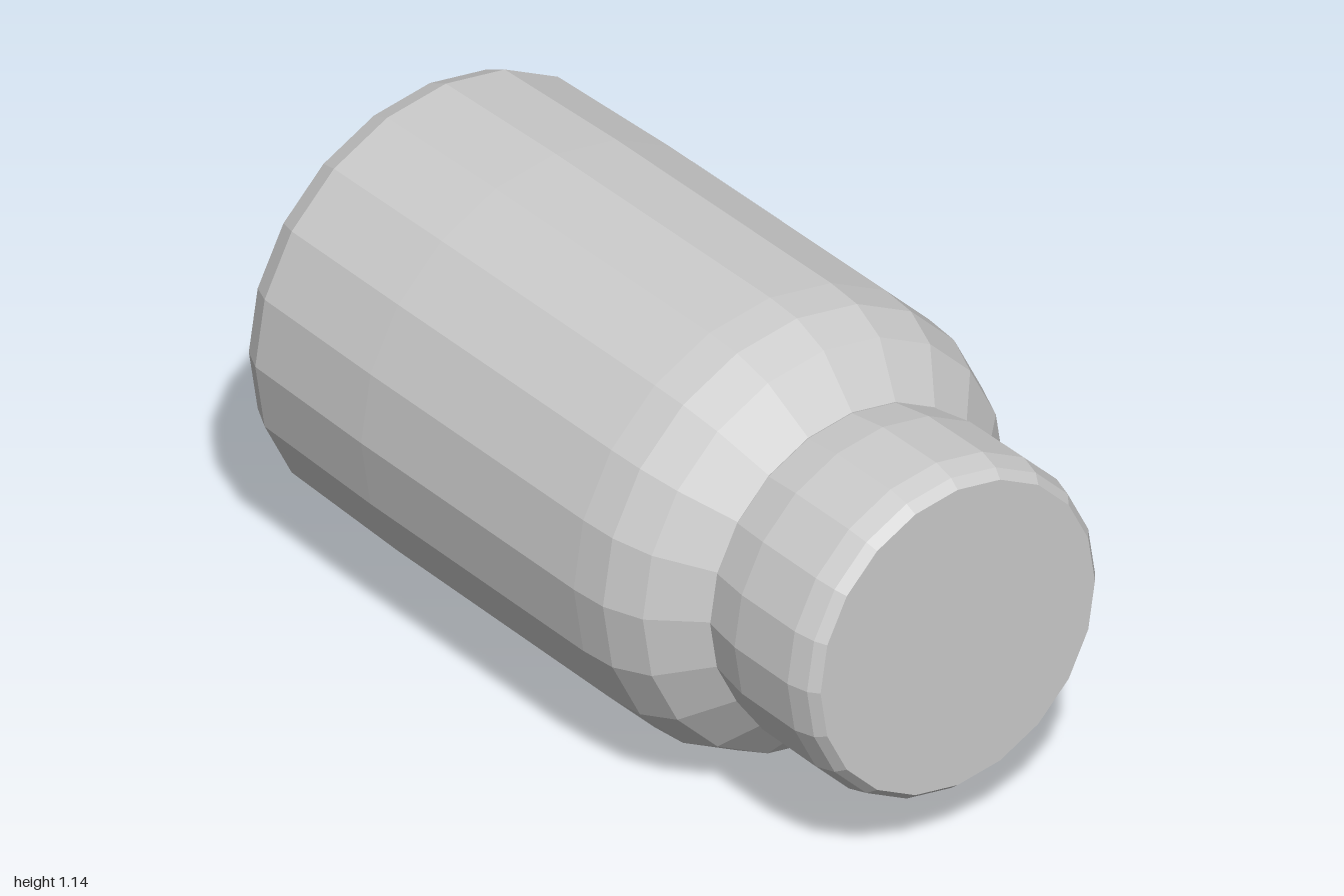
import * as THREE from 'three';

const material = new THREE.MeshStandardMaterial({ color: 0xcccccc, flatShading: true });

// Faceted solid of revolution lying along z; profile is [radius, z] from back to front
function turned(name, profile, centreY, sides) {
  const points = profile.map(([r, z]) => new THREE.Vector2(r, z));
  const geometry = new THREE.LatheGeometry(points, sides);
  geometry.rotateX(Math.PI / 2);
  geometry.translate(0, centreY, 0);
  const mesh = new THREE.Mesh(geometry, material);
  mesh.name = name;
  return mesh;
}

export function createModel() {
  const group = new THREE.Group();
  group.name = 'bottle';

  // Body with a bevelled base and a sloping shoulder
  group.add(turned('body', [
    [0, -1], [0.465, -1], [0.525, -0.97], [0.553, -0.91], [0.565, -0.5],
    [0.57, 0.3], [0.563, 0.4], [0.525, 0.5], [0.41, 0.605], [0, 0.605],
  ], 0.57, 20));

  // Cap with softened rims
  group.add(turned('cap', [
    [0, 0.6], [0.41, 0.6], [0.43, 0.72], [0.432, 0.92],
    [0.418, 0.975], [0.398, 1], [0, 1],
  ], 0.567, 20));

  return group;
}
